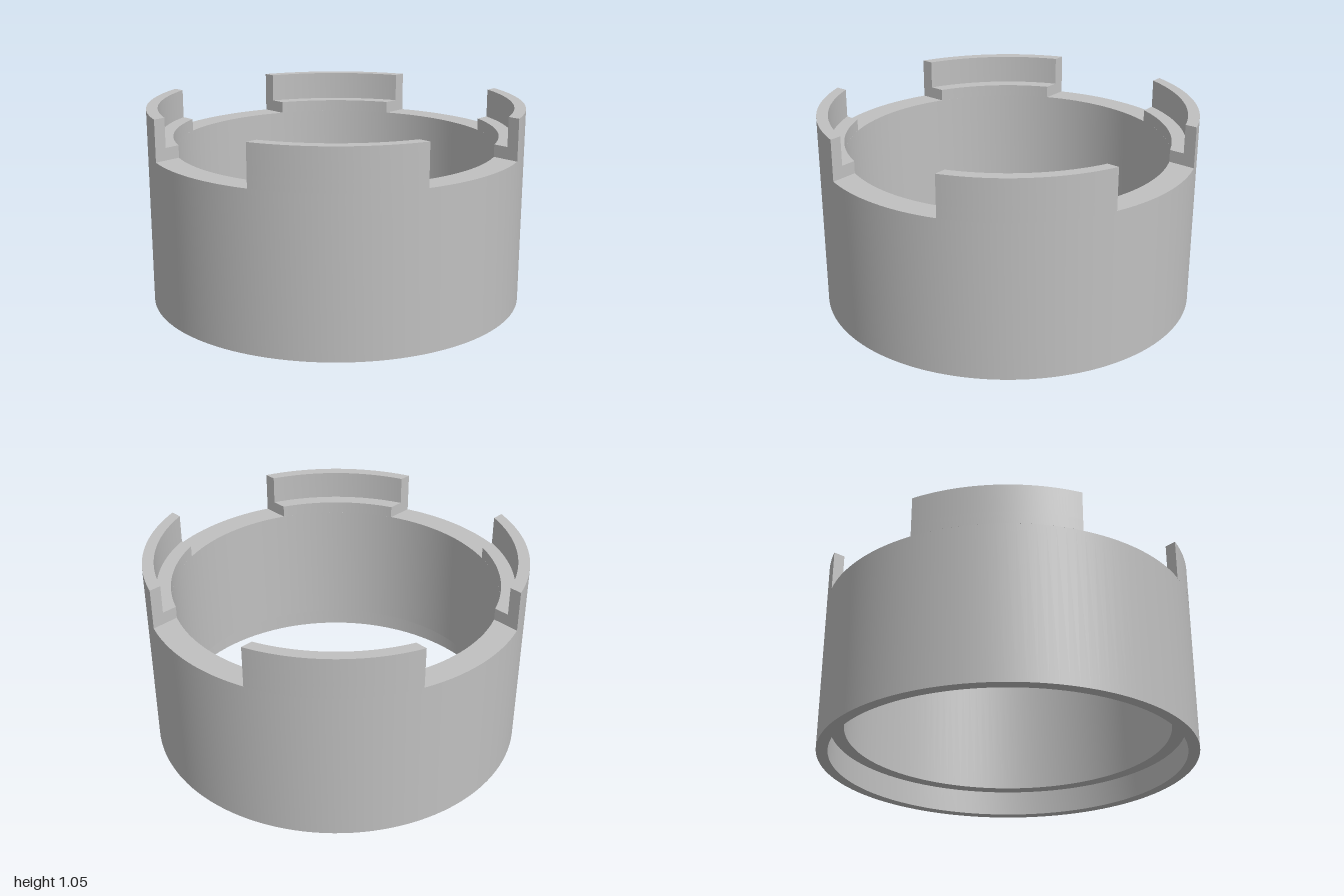
import * as THREE from 'three';
import { toCreasedNormals } from 'three/addons/utils/BufferGeometryUtils.js';

const OUTER = 1, STEP = 0.94, INNER = 0.865;   // radii
const RECESS = 0.14, RIM = 0.83, LEDGE = 0.895, TOP = 1.05;   // heights
const NOTCH = 0.345;   // half width of the straight-sided notches

const metal = new THREE.MeshStandardMaterial({ color: 0xc0c0c0 });
metal.name = 'grey';

function part(name, geometry) {
  const mesh = new THREE.Mesh(toCreasedNormals(geometry, 0.5), metal);
  mesh.name = name;
  return mesh;
}

// Curved block in one quadrant, cut parallel to the axes at the notches
function arcBlock(rIn, rOut, y0, y1) {
  const a = Math.asin(NOTCH / rOut), b = Math.asin(NOTCH / rIn);
  const shape = new THREE.Shape();
  shape.absarc(0, 0, rOut, a, Math.PI / 2 - a, false);
  shape.absarc(0, 0, rIn, Math.PI / 2 - b, b, true);
  shape.closePath();
  const g = new THREE.ExtrudeGeometry(shape, { depth: y1 - y0, bevelEnabled: false, curveSegments: 28 });
  return g.rotateX(-Math.PI / 2).translate(0, y0, 0);
}

export function createModel() {
  const group = new THREE.Group();
  group.name = 'notchedCollar';

  // Main ring with a stepped recess under it
  const profile = [
    [STEP, 0], [OUTER, 0], [OUTER, RIM], [INNER, RIM],
    [INNER, RECESS], [STEP, RECESS], [STEP, 0],
  ].map(([x, y]) => new THREE.Vector2(x, y));
  group.add(part('ringBody', new THREE.LatheGeometry(profile, 128)));

  // Four stepped tabs between the notches
  for (let i = 0; i < 4; i++) {
    const tab = new THREE.Group();
    tab.name = 'tab' + (i + 1);
    tab.add(part('tabLedge', arcBlock(INNER, OUTER, RIM, LEDGE)));
    tab.add(part('tabWall', arcBlock(STEP, OUTER, LEDGE, TOP)));
    tab.rotation.y = i * Math.PI / 2;
    group.add(tab);
  }
  return group;
}
